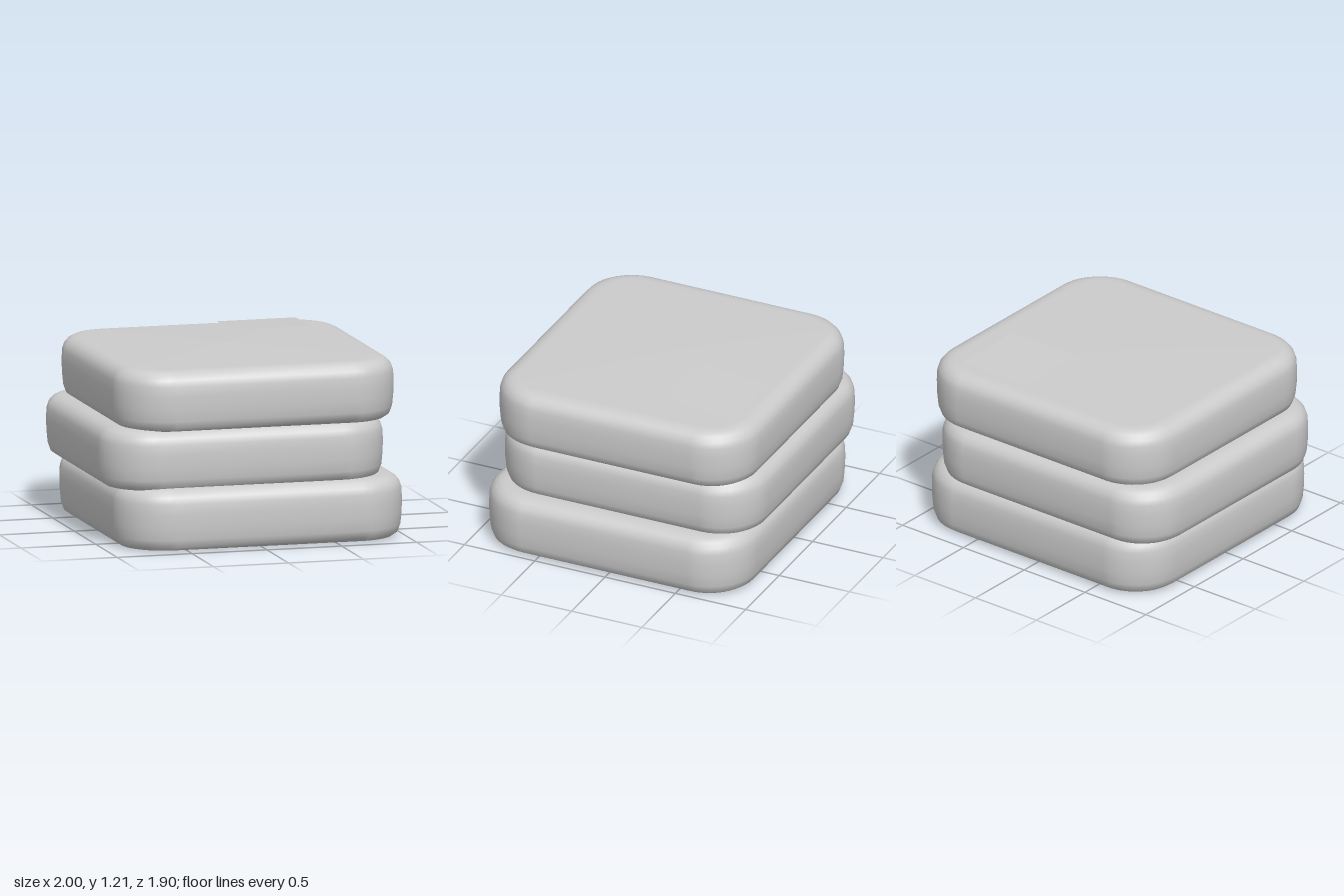
import * as THREE from 'three';

const fabric = new THREE.MeshStandardMaterial({ color: 0xcccccc, side: THREE.DoubleSide });
fabric.name = 'light grey fabric';

const CORNER = 0.34, ARC_STEPS = 10;

// Rounded rectangle pulled in by `inset`, as [x, z] points.
function outline(hx, hz, inset) {
  const points = [];
  const r = CORNER - inset;
  for (let k = 0; k < 4; k++) {
    const sx = k === 0 || k === 3 ? 1 : -1;
    const sz = k < 2 ? 1 : -1;
    for (let i = 0; i <= ARC_STEPS; i++) {
      const a = (k + i / ARC_STEPS) * Math.PI / 2;
      points.push([sx * (hx - CORNER) + r * Math.cos(a), sz * (hz - CORNER) + r * Math.sin(a)]);
    }
  }
  return points;
}

// Side profile from the open bottom rim to the cap edge: [inset, height fraction]
const PROFILE = [
  [0.1, 0.01], [0.06, 0.025], [0.028, 0.08], [0.01, 0.2], [0.002, 0.4], [0, 0.6],
  [0.003, 0.77], [0.016, 0.87], [0.042, 0.945], [0.075, 0.985], [0.11, 1],
];

// Soft cushion shell, open below, with a slightly domed cap.
function cushion(name, x0, x1, z0, z1, y0, y1) {
  const hx = (x1 - x0) / 2, hz = (z1 - z0) / 2, h = y1 - y0;
  const rings = PROFILE.map(([inset, f]) => outline(hx, hz, inset).map(([x, z]) => [x, y0 + f * h, z]));
  const edge = rings[rings.length - 1];
  for (const s of [0.97, 0.5, 0]) {
    rings.push(edge.map(([x, y, z]) => [x * s, y + 0.02 * (1 - s), z * s]));
  }
  const n = edge.length, index = [];
  for (let j = 0; j < rings.length - 1; j++) {
    for (let i = 0; i < n; i++) {
      const a = j * n + i, b = j * n + (i + 1) % n;
      index.push(a, a + n, b);
      if (j < rings.length - 2) index.push(b, a + n, b + n);
    }
  }
  const geometry = new THREE.BufferGeometry();
  geometry.setAttribute('position', new THREE.Float32BufferAttribute(rings.flat(2), 3));
  geometry.setIndex(index);
  geometry.computeVertexNormals();
  const mesh = new THREE.Mesh(geometry, fabric);
  mesh.name = name;
  mesh.position.set((x0 + x1) / 2, 0, (z0 + z1) / 2);
  return mesh;
}

// Thin square patch tilted up toward the front.
function patch() {
  const geometry = new THREE.BufferGeometry();
  geometry.setAttribute('position', new THREE.Float32BufferAttribute([
    0.145, 1.215, -0.285, 0.67, 1.215, -0.285,
    0.695, 1.185, -0.76, 0.17, 1.185, -0.76,
  ], 3));
  geometry.setIndex([0, 1, 2, 0, 2, 3]);
  geometry.computeVertexNormals();
  const mesh = new THREE.Mesh(geometry, fabric);
  mesh.name = 'patch';
  return mesh;
}

export function createModel() {
  const group = new THREE.Group();
  group.name = 'cushionStack';
  group.add(
    cushion('bottomCushion', -0.92, 1.0, -0.92, 0.95, 0, 0.41),
    cushion('middleCushion', -1.0, 0.89, -0.95, 0.89, 0.385, 0.785),
    cushion('topCushion', -0.905, 0.96, -0.92, 0.895, 0.765, 1.165),
    patch(),
  );
  return group;
}
